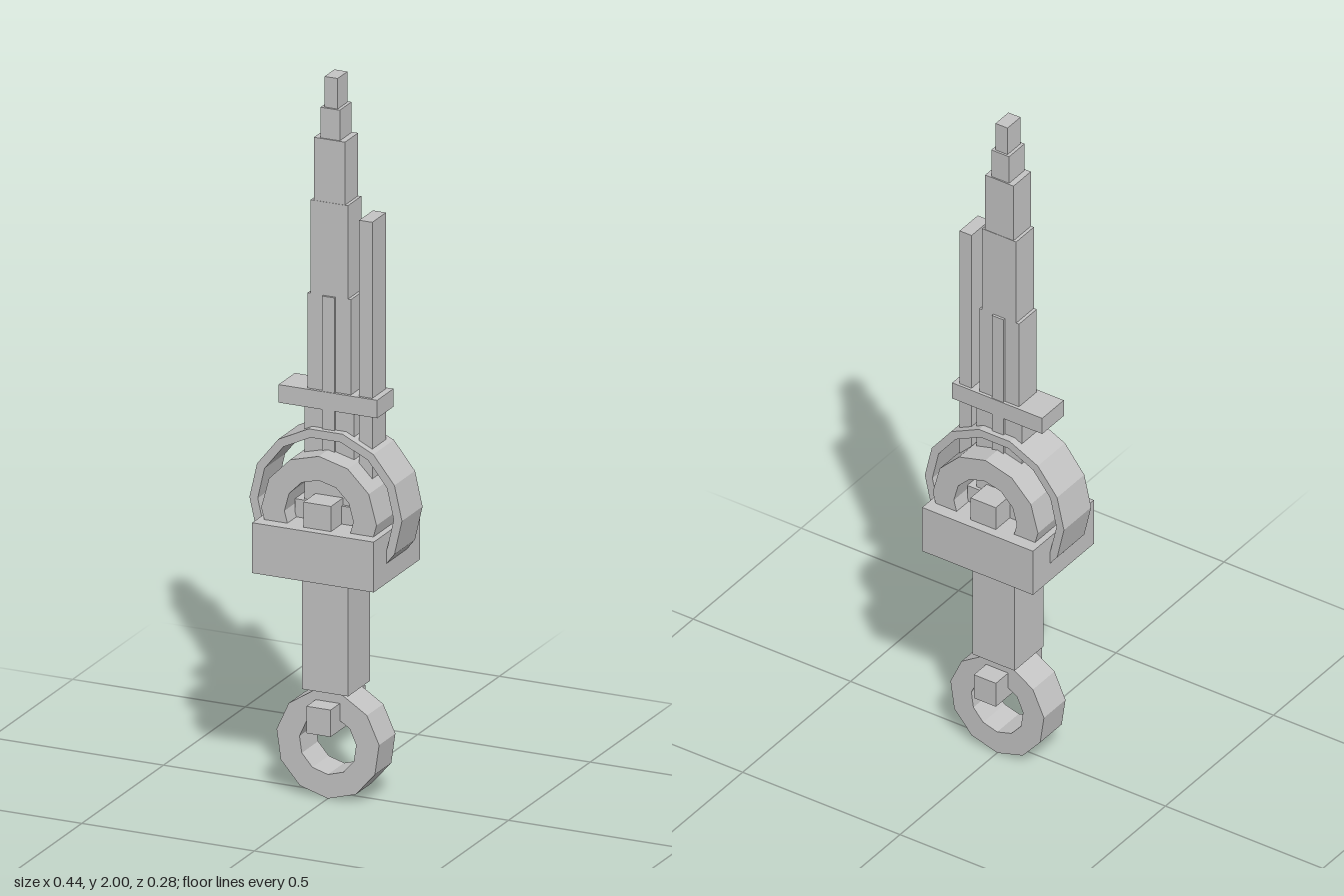
import * as THREE from 'three';

const steel = new THREE.MeshStandardMaterial({ color: 0xc4c4c4 });
steel.name = 'light grey steel';

// Box given by x, y ranges and half depth
function block(group, name, x0, x1, y0, y1, halfZ) {
  const mesh = new THREE.Mesh(new THREE.BoxGeometry(x1 - x0, y1 - y0, halfZ * 2), steel);
  mesh.name = name;
  mesh.position.set((x0 + x1) / 2, (y0 + y1) / 2, 0);
  group.add(mesh);
}

// Faceted ring whose axis runs along z
function ring(group, name, y, outer, inner, halfZ, sides, turn) {
  const corners = (r) => Array.from({ length: sides }, (_, i) => {
    const a = turn + (i / sides) * Math.PI * 2;
    return new THREE.Vector2(r * Math.cos(a), r * Math.sin(a));
  });
  const shape = new THREE.Shape(corners(outer));
  shape.holes.push(new THREE.Path(corners(inner).reverse()));
  const geometry = new THREE.ExtrudeGeometry(shape, { depth: halfZ * 2, bevelEnabled: false });
  geometry.translate(0, y, -halfZ);
  const mesh = new THREE.Mesh(geometry, steel);
  mesh.name = name;
  group.add(mesh);
}

export function createModel() {
  const sword = new THREE.Group();
  sword.name = 'sword';

  // Stepped blade: half width, bottom, top, half depth
  const blade = new THREE.Group();
  blade.name = 'blade';
  [
    [0.072, 0.77, 1.08, 0.041],
    [0.063, 1.08, 1.395, 0.041],
    [0.054, 1.395, 1.655, 0.041],
    [0.045, 1.655, 1.83, 0.04],
    [0.028, 1.83, 1.915, 0.036],
    [0.019, 1.915, 2.0, 0.03],
  ].forEach(([w, y0, y1, d], i) => block(blade, `bladeStep${i + 1}`, -w, w, y0, y1, d));
  block(blade, 'centreRidge', -0.018, 0.018, 0.95, 1.395, 0.048);
  block(blade, 'sideBlade', 0.087, 0.125, 0.9, 1.62, 0.042);
  block(blade, 'crossBar', -0.143, 0.143, 1.08, 1.13, 0.05);
  sword.add(blade);

  // Hilt with nested rings set into the guard
  const hilt = new THREE.Group();
  hilt.name = 'hilt';
  ring(hilt, 'outerRing', 0.81, 0.221, 0.197, 0.063, 14, 0);
  ring(hilt, 'innerRing', 0.803, 0.167, 0.1, 0.105, 12, 0);
  block(hilt, 'hub', -0.095, 0.095, 0.76, 0.82, 0.05);
  block(hilt, 'hubPin', -0.04, 0.04, 0.76, 0.84, 0.115);
  block(hilt, 'guard', -0.176, 0.176, 0.63, 0.77, 0.141);
  block(hilt, 'grip', -0.067, 0.067, 0.3, 0.64, 0.067);
  sword.add(hilt);

  // Ring pommel and its pin
  const pommel = new THREE.Group();
  pommel.name = 'pommel';
  ring(pommel, 'pommelRing', 0.15, 0.15, 0.083, 0.05, 11, -Math.PI / 2);
  block(pommel, 'pommelPin', -0.035, 0.035, 0.195, 0.27, 0.107);
  block(pommel, 'pommelNeck', -0.04, 0.04, 0.27, 0.305, 0.05);
  sword.add(pommel);

  return sword;
}
